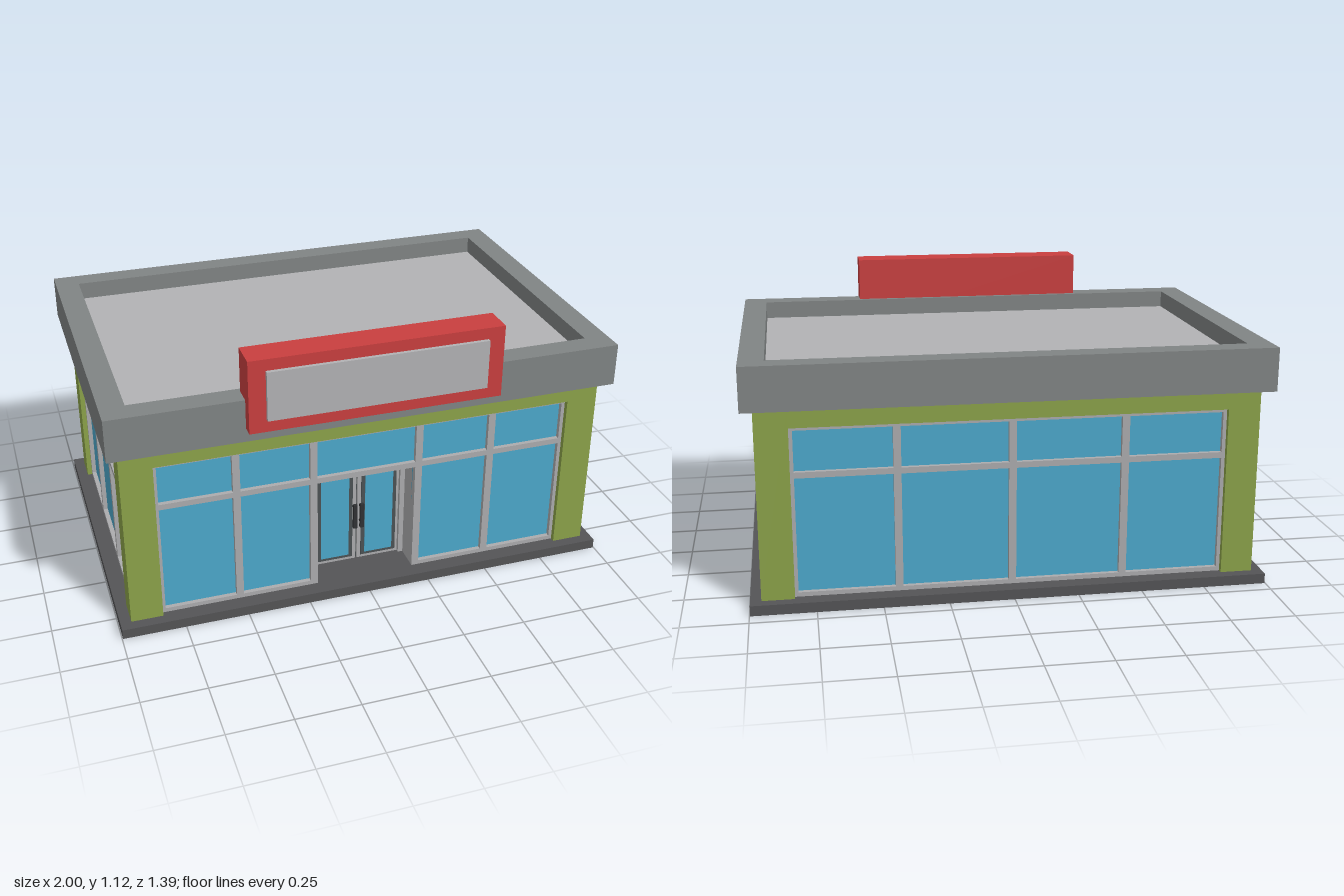
import * as THREE from 'three';

const mat = (name, color, extra = {}) => {
  const m = new THREE.MeshStandardMaterial({ color, ...extra });
  m.name = name;
  return m;
};

export function createModel() {
  const green = mat('wall green', 0x8ba249);
  const roofGrey = mat('parapet grey', 0x808484);
  const lightGrey = mat('light grey', 0xb2b2b4);
  const frameGrey = mat('frame grey', 0xacacae);
  const glass = mat('glass blue', 0x4ca8cb);
  const red = mat('sign red', 0xc93f3f);
  const baseGrey = mat('base grey', 0x545456);
  const doorGrey = mat('door dark grey', 0x4c5254);
  const black = mat('handle black', 0x303234);

  const model = new THREE.Group();
  model.name = 'shop';

  // Box given by its minimum and maximum on each axis
  const box = (parent, name, material, x0, x1, y0, y1, z0, z1) => {
    const mesh = new THREE.Mesh(new THREE.BoxGeometry(x1 - x0, y1 - y0, z1 - z0), material);
    mesh.position.set((x0 + x1) / 2, (y0 + y1) / 2, (z0 + z1) / 2);
    mesh.name = name;
    parent.add(mesh);
    return mesh;
  };

  // Main levels and extents
  const floor = 0.04, head = 0.705, eave = 0.78, top = 0.95;
  const W = 0.955, F = 0.588, B = -0.648;
  const openX = 0.83, openF = 0.475, openB = -0.535;

  box(model, 'base', baseGrey, -0.997, 0.997, 0, floor, -0.69, 0.631);

  // Corner piers and the lintels between them
  for (const s of [-1, 1]) {
    const [x0, x1] = s < 0 ? [-W, -openX] : [openX, W];
    box(model, 'frontPier', green, x0, x1, floor, eave, openF, F);
    box(model, 'backPier', green, x0, x1, floor, eave, B, openB);
    box(model, 'sideLintel', green, x0, x1, head, eave, openB, openF);
  }
  box(model, 'frontLintel', green, -openX, openX, head, eave, openF, F);
  box(model, 'backLintel', green, -openX, openX, head, eave, B, openB);

  // Parapet ring and sunken roof deck
  const ring = new THREE.Shape([
    new THREE.Vector2(-1, -0.633), new THREE.Vector2(1, -0.633),
    new THREE.Vector2(1, 0.693), new THREE.Vector2(-1, 0.693)]);
  ring.holes.push(new THREE.Path([
    new THREE.Vector2(-0.905, -0.54), new THREE.Vector2(-0.905, 0.603),
    new THREE.Vector2(0.905, 0.603), new THREE.Vector2(0.905, -0.54)]));
  const parapet = new THREE.Mesh(
    new THREE.ExtrudeGeometry(ring, { depth: top - eave, bevelEnabled: false }), roofGrey);
  parapet.rotation.x = -Math.PI / 2;
  parapet.position.y = eave;
  parapet.name = 'parapet';
  model.add(parapet);
  box(model, 'roofDeck', lightGrey, -0.905, 0.905, eave, 0.88, -0.603, 0.54);

  // Sign
  box(model, 'signBoard', red, -0.49, 0.49, 0.835, 1.125, 0.56, 0.68);
  box(model, 'signPanel', lightGrey, -0.425, 0.425, 0.885, 1.08, 0.675, 0.695);

  // Glazing in a local frame: u along the wall, z outward from its face
  const zFrame = [-0.055, -0.02], zGlass = [-0.05, -0.038];
  const glazing = (name, x, z, turn, u0, u1, mullions, door) => {
    const g = new THREE.Group();
    g.name = name;
    g.position.set(x, 0, z);
    g.rotation.y = turn;
    const bar = (n, a, b, c, d) => box(g, n, frameGrey, a, b, c, d, ...zFrame);
    const pane = (a, b, c, d) => box(g, 'glass', glass, a, b, c, d, ...zGlass);
    bar('headRail', u0, u1, 0.69, head);
    bar('transomRail', u0, u1, 0.507, 0.53);
    bar('jamb', u0, u0 + 0.014, floor, head);
    bar('jamb', u1 - 0.014, u1, floor, head);
    mullions.forEach(m => bar('mullion', m - 0.0145, m + 0.0145, floor, head));
    pane(u0, u1, 0.52, head);
    for (const [a, b] of door ? [[u0, -door], [door, u1]] : [[u0, u1]]) {
      bar('sill', a, b, floor, 0.057);
      pane(a, b, floor, 0.52);
    }
    model.add(g);
    return g;
  };
  const half = Math.PI / 2;
  const front = glazing('frontWindows', 0, F, 0, -openX, openX,
    [-0.518, -0.2145, 0.2145, 0.518], 0.2);
  glazing('backWindows', 0, B, Math.PI, -openX, openX, [-0.435, 0, 0.435]);
  glazing('rightWindows', W, 0, half, -openF, -openB, [-0.157, 0.213]);
  glazing('leftWindows', -W, 0, -half, openB, openF, [-0.213, 0.157]);

  // Recessed entrance: lining, frame and a pair of mirrored doors
  const zd = -0.135;
  box(front, 'entranceCeiling', frameGrey, -0.2, 0.2, 0.505, 0.52, zd - 0.03, -0.03);
  for (const s of [-1, 1]) {
    const part = (name, material, a, b, c, d, e, f) =>
      box(front, name, material, Math.min(s * a, s * b), Math.max(s * a, s * b), c, d, e, f);
    part('entranceSide', frameGrey, 0.2, 0.225, floor, 0.515, zd - 0.03, -0.03);
    part('doorFrame', frameGrey, 0.18, 0.2, floor, 0.505, zd - 0.03, zd + 0.01);
    part('doorFrameHead', frameGrey, 0, 0.18, 0.487, 0.505, zd - 0.03, zd + 0.01);
    part('doorLeaf', frameGrey, 0.003, 0.178, floor + 0.003, 0.484, zd - 0.025, zd);
    part('doorInnerFrame', doorGrey, 0.018, 0.167, 0.056, 0.473, zd - 0.01, zd + 0.003);
    part('doorGlass', glass, 0.034, 0.152, 0.068, 0.46, zd - 0.005, zd + 0.005);
    part('doorHandle', black, 0.006, 0.022, 0.208, 0.318, zd + 0.018, zd + 0.03);
    for (const y of [0.225, 0.295])
      part('handleMount', black, 0.01, 0.018, y, y + 0.008, zd, zd + 0.02);
  }
  box(front, 'doorGap', doorGrey, -0.003, 0.003, floor, 0.487, zd - 0.025, zd - 0.01);

  return model;
}
